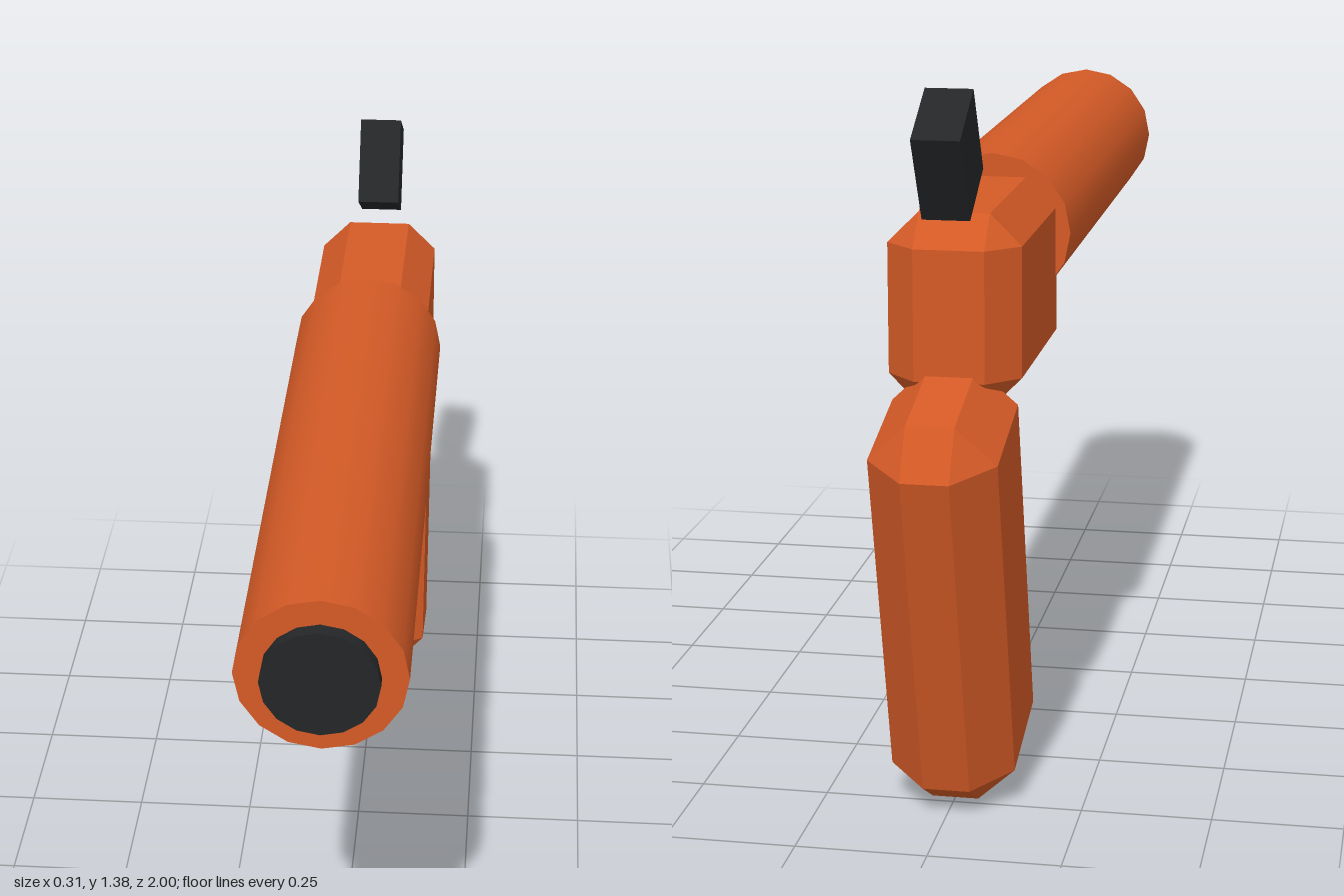
import * as THREE from 'three';
import { ConvexGeometry } from 'three/addons/geometries/ConvexGeometry.js';

const orange = new THREE.MeshStandardMaterial({ color: 0xd45a26 });
const orangeFlat = new THREE.MeshStandardMaterial({ color: 0xd45a26, flatShading: true });
const black = new THREE.MeshStandardMaterial({ color: 0x242628 });

// Box with every edge chamfered by c and a triangle at each corner
function chamferedBox(w, h, d, c) {
  const half = [w / 2, h / 2, d / 2];
  const points = [];
  for (const sx of [-1, 1]) for (const sy of [-1, 1]) for (const sz of [-1, 1]) {
    for (let axis = 0; axis < 3; axis++) {
      const [x, y, z] = half.map((v, i) => (i === axis ? v : v - c));
      points.push(new THREE.Vector3(sx * x, sy * y, sz * z));
    }
  }
  return new ConvexGeometry(points);
}

export function createModel() {
  const model = new THREE.Group();
  model.name = 'flareGun';

  function add(name, geometry, material, y, z, tilt = 0, parent = model) {
    const mesh = new THREE.Mesh(geometry, material);
    mesh.name = name;
    mesh.position.set(0, y, z);
    mesh.rotation.x = THREE.MathUtils.degToRad(tilt);
    parent.add(mesh);
    return mesh;
  }

  // Wide barrel with a dark muzzle plug
  add('barrel', new THREE.CylinderGeometry(0.157, 0.157, 1.285, 16), orange, 1.04, 0.33, 90);
  add('muzzle', new THREE.CylinderGeometry(0.108, 0.108, 0.2, 16), black, 1.04, 0.9, 90);

  // Receiver and raked grip
  add('receiver', chamferedBox(0.254, 0.37, 0.53, 0.06), orangeFlat, 0.965, -0.5);
  add('grip', chamferedBox(0.24, 0.83, 0.373, 0.075), orangeFlat, 0.432, -0.728, -15);

  // Hammer
  add('hammer', new THREE.BoxGeometry(0.09, 0.185, 0.15), black, 1.267, -0.764, -30);

  // Trigger
  add('trigger', new THREE.BoxGeometry(0.03, 0.18, 0.04), orange, 0.762, -0.397, 20);

  // Half-ring guard bulging to the rear, with a capped front end
  const guard = new THREE.Group();
  guard.name = 'triggerGuard';
  guard.position.set(0, 0.695, -0.43);
  model.add(guard);
  const ring = new THREE.TorusGeometry(0.149, 0.027, 6, 16, Math.PI);
  ring.rotateZ(-Math.PI / 2).rotateY(Math.PI / 2);
  add('guardRing', ring, orange, 0, 0, 0, guard);
  add('guardEnd', new THREE.CircleGeometry(0.027, 6, Math.PI / 2), orange, -0.149, 0, 0, guard);

  return model;
}
